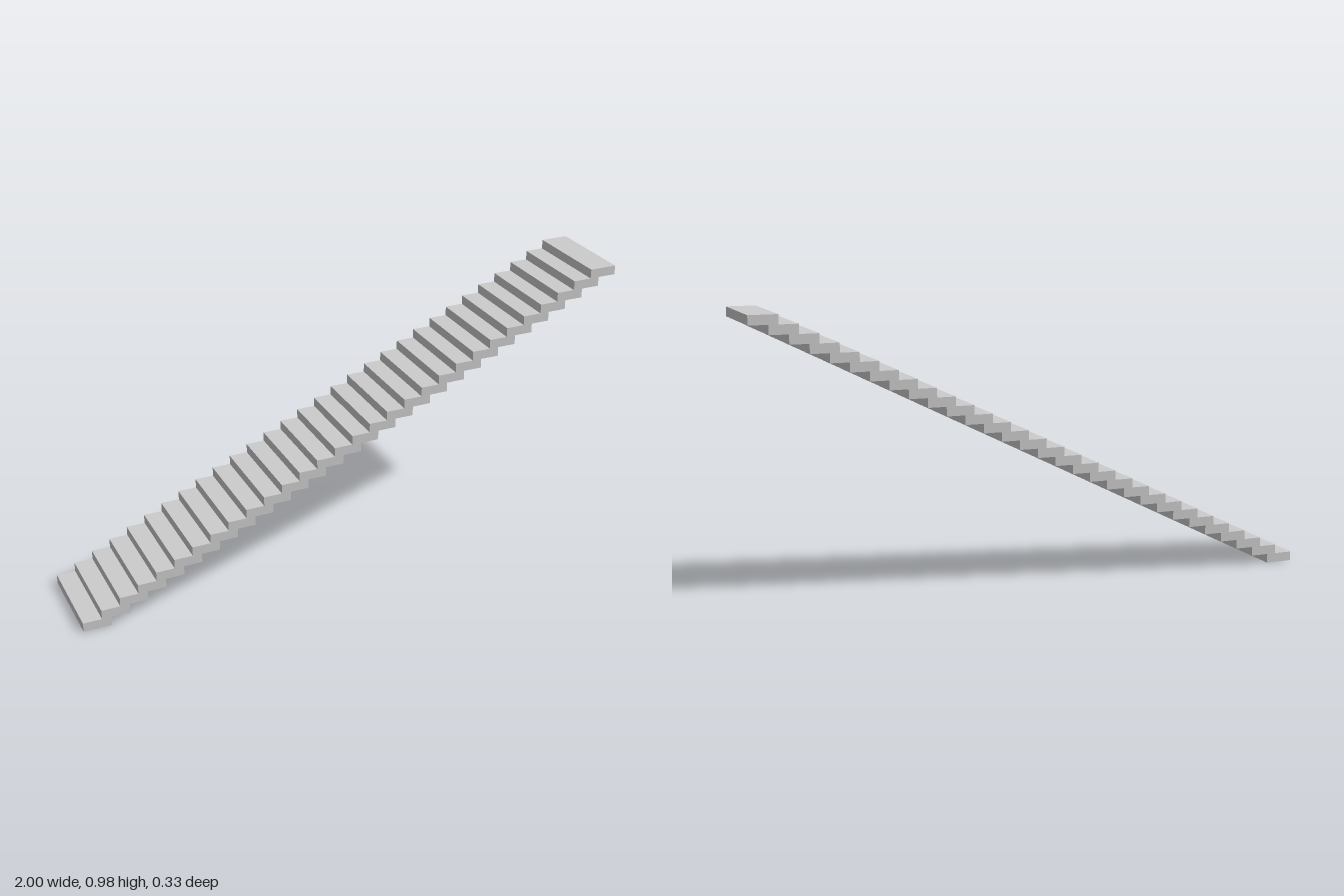
import * as THREE from 'three';

const STEPS = 30;
const U = 2 / 61;        // rise of one step
const RUN = 2 * U;       // horizontal distance between steps
const TREAD = 3 * U;     // full tread length, overlapping the next step
const WIDTH = 10 * U;

export function createModel() {
  const group = new THREE.Group();
  group.name = 'staircase';

  // Stepped side profile: underside going up, then treads coming back down
  const points = [];
  for (let i = 0; i < STEPS; i++) {
    const x = -1 + i * RUN + TREAD;
    points.push(new THREE.Vector2(x, i * U), new THREE.Vector2(x, (i + 1) * U));
  }
  for (let i = STEPS - 1; i >= 0; i--) {
    const x = -1 + i * RUN;
    points.push(new THREE.Vector2(x, (i + 1) * U), new THREE.Vector2(x, i * U));
  }

  // Sweep the profile across the width of the flight
  const geometry = new THREE.ExtrudeGeometry(new THREE.Shape(points), {
    depth: WIDTH,
    bevelEnabled: false,
  });
  geometry.translate(0, 0, -WIDTH / 2);

  const flight = new THREE.Mesh(
    geometry,
    new THREE.MeshStandardMaterial({ color: 0xcccccc, flatShading: true })
  );
  flight.name = 'stairFlight';
  group.add(flight);
  return group;
}
